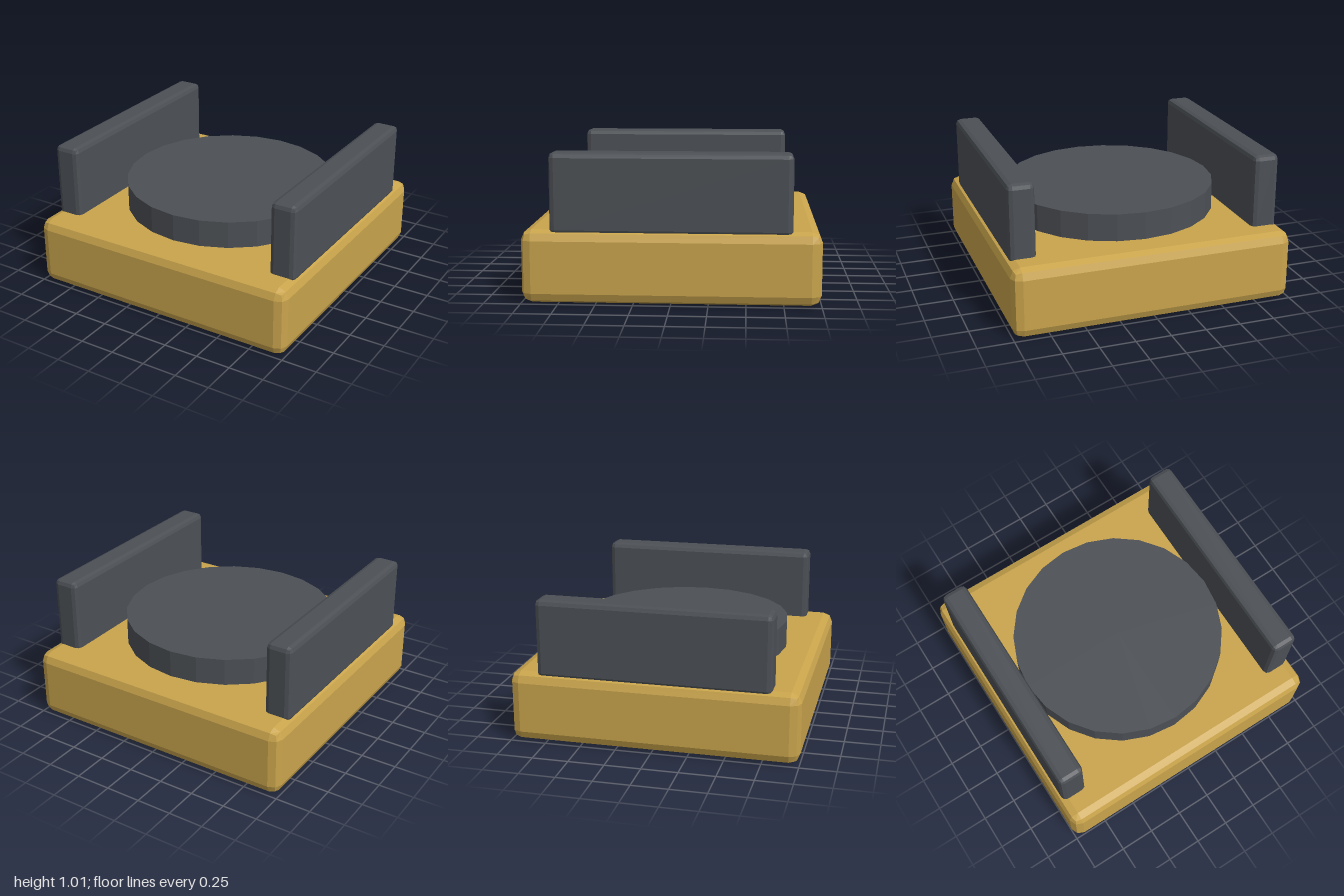
import * as THREE from 'three';

// Box with edges rounded by a two-step bevel of radius r, standing on y = bottom
function bevelBox(w, h, d, r) {
  const geo = new THREE.BoxGeometry(1, 1, 1, 3, 3, 3);
  const pos = geo.attributes.position;
  const core = new THREE.Vector3(w / 2 - r, h / 2 - r, d / 2 - r);
  const p = new THREE.Vector3();
  const n = new THREE.Vector3();
  const outer = (v) => (Math.abs(v) > 0.4 ? Math.sign(v) : 0);
  for (let i = 0; i < pos.count; i++) {
    p.fromBufferAttribute(pos, i);
    n.set(outer(p.x), outer(p.y), outer(p.z)).normalize().multiplyScalar(r);
    p.set(Math.sign(p.x), Math.sign(p.y), Math.sign(p.z)).multiply(core).add(n);
    pos.setXYZ(i, p.x, p.y, p.z);
  }
  return flat(geo);
}

// Separate the faces so each one is shaded flat
function flat(geo) {
  const g = geo.toNonIndexed();
  g.computeVertexNormals();
  return g;
}

export function createModel() {
  const model = new THREE.Group();
  const ochre = new THREE.MeshStandardMaterial({ color: 0xc9a44c });
  ochre.name = 'ochre';
  const slate = new THREE.MeshStandardMaterial({ color: 0x4c5055 });
  slate.name = 'slate';

  const add = (name, geo, mat, x, y) => {
    const mesh = new THREE.Mesh(geo, mat);
    mesh.name = name;
    mesh.position.set(x, y, 0);
    model.add(mesh);
  };

  // Square base block
  add('base', bevelBox(2, 0.495, 2, 0.07), ochre, 0, 0.2475);

  // Round platform
  add('disc', flat(new THREE.CylinderGeometry(0.76, 0.76, 0.24, 24)), slate, 0, 0.57);

  // Upright side panels
  for (const side of [1, -1]) {
    add(side > 0 ? 'leftPanel' : 'rightPanel',
      bevelBox(0.187, 0.55, 1.612, 0.035), slate, side * 0.874, 0.735);
  }
  return model;
}
